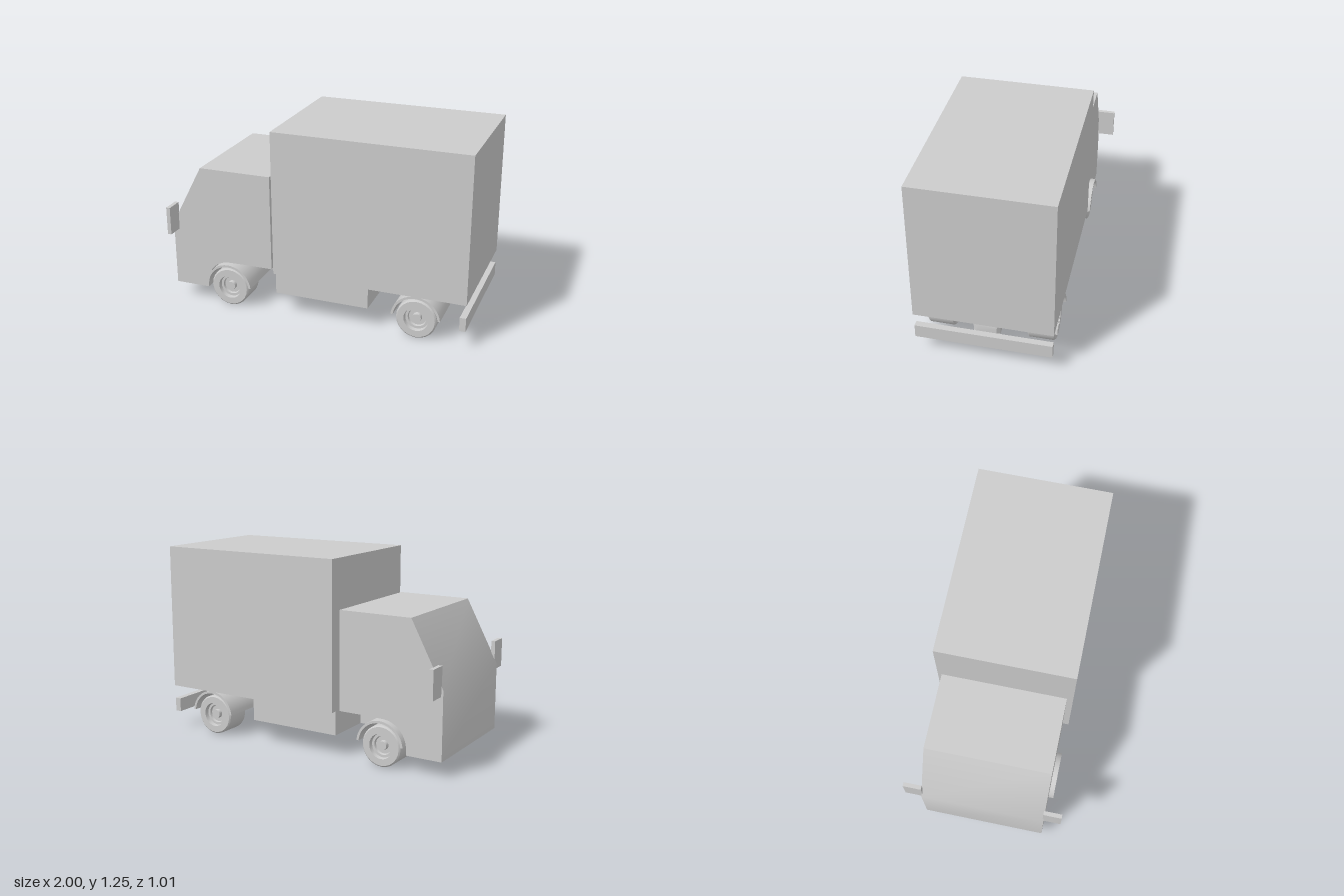
import * as THREE from 'three';
import { toCreasedNormals } from 'three/addons/utils/BufferGeometryUtils.js';

const material = new THREE.MeshStandardMaterial({ color: 0xcccccc });
const AXLES = [-0.6, 0.68];
const AXLE_Y = 0.137;

export function createModel() {
  const model = new THREE.Group();

  const add = (name, geometry, parent = model) => {
    const mesh = new THREE.Mesh(geometry, material);
    mesh.name = name;
    parent.add(mesh);
    return mesh;
  };
  // Box given by its minimum and maximum corners
  const box = (name, x0, x1, y0, y1, z0, z1) => {
    const mesh = add(name, new THREE.BoxGeometry(x1 - x0, y1 - y0, z1 - z0));
    mesh.position.set((x0 + x1) / 2, (y0 + y1) / 2, (z0 + z1) / 2);
    return mesh;
  };
  // Side profile pushed across the width, from z0 to z1
  const extrudeZ = (shape, z0, z1) => {
    const g = new THREE.ExtrudeGeometry(shape, { depth: z1 - z0, bevelEnabled: false, curveSegments: 10 });
    g.translate(0, 0, z0);
    return toCreasedNormals(g, 0.6);
  };

  // Cab with sloping windscreen and a front wheel arch
  const cab = new THREE.Shape();
  cab.moveTo(-1, 0.1);
  cab.lineTo(-0.765, 0.1);
  cab.lineTo(-0.765, AXLE_Y);
  cab.absarc(-0.6, AXLE_Y, 0.165, Math.PI, Math.PI / 2, true);
  cab.lineTo(-0.45, 0.305);
  cab.lineTo(-0.3, 0.305);
  cab.lineTo(-0.3, 0.94);
  cab.lineTo(-0.785, 0.94);
  cab.lineTo(-1, 0.535);
  cab.closePath();
  add('cab', extrudeZ(cab, -0.397, 0.397));

  // Cargo body, underfloor box and rear bumper
  box('cargoBox', -0.27, 1, 0.297, 1.25, -0.436, 0.436);
  box('underfloorBox', -0.27, 0.36, 0.142, 0.297, -0.397, 0.397);
  box('rearBumper', 0.96, 1, 0.117, 0.207, -0.43, 0.43);
  box('bumperBracket', 0.88, 0.97, 0.14, 0.15, -0.08, 0.08);

  // Chassis rail: chamfered section swept along x, its top following the axles
  const section = new THREE.Shape();
  [[-0.085, 0], [0.085, 0], [0.085, 0.8], [0.065, 1], [-0.065, 1], [-0.085, 0.8]]
    .forEach(([z, y], i) => (i ? section.lineTo(z, y) : section.moveTo(z, y)));
  section.closePath();
  const railTop = [[-0.77, 0.27], [-0.6, 0.295], [-0.42, 0.28], [-0.27, 0.27], [0.36, 0.275],
    [0.5, 0.28], [0.68, 0.293], [0.83, 0.285], [0.89, 0.275], [0.91, 0.2]];
  const topAt = (x) => {
    const i = Math.max(1, railTop.findIndex((p) => p[0] >= x - 1e-4));
    const [a, b] = [railTop[i - 1], railTop[i]];
    return THREE.MathUtils.mapLinear(x, a[0], b[0], a[1], b[1]);
  };
  const rail = new THREE.ExtrudeGeometry(section, { depth: 1.68, steps: 84, bevelEnabled: false });
  rail.rotateY(Math.PI / 2).translate(-0.77, 0, 0);
  const p = rail.attributes.position;
  for (let i = 0; i < p.count; i++) {
    const x = p.getX(i);
    p.setY(i, 0.142 + p.getY(i) * (topAt(x) - 0.142));
    if (x > 0.9) p.setZ(i, p.getZ(i) * 0.75);
  }
  add('chassisRail', toCreasedNormals(rail, 0.5));

  // Tyre with a stepped rim and hub on its outer face
  const wheelProfile = [[0, -0.087], [0.122, -0.087], [0.131, -0.078], [0.131, 0.078], [0.122, 0.087],
    [0.08, 0.087], [0.076, 0.06], [0.06, 0.06], [0.056, 0.045], [0.03, 0.045], [0.028, 0.07], [0, 0.07]]
    .map(([r, h]) => new THREE.Vector2(r, h));
  const wheelGeometry = toCreasedNormals(new THREE.LatheGeometry(wheelProfile, 24).rotateX(Math.PI / 2), 0.5);

  // Thin arched mudguard
  const fenderGeometry = (x) => {
    const arch = new THREE.Shape();
    arch.absarc(x, AXLE_Y, 0.16, 0.1, Math.PI - 0.1, false);
    arch.absarc(x, AXLE_Y, 0.145, Math.PI - 0.1, 0.1, true);
    arch.closePath();
    return arch;
  };

  AXLES.forEach((x, i) => {
    const end = i ? 'rear' : 'front';
    const axle = add(end + 'Axle', new THREE.CylinderGeometry(0.02, 0.02, 0.5, 12).rotateX(Math.PI / 2));
    axle.position.set(x, AXLE_Y, 0);
    for (const side of [1, -1]) {
      const label = end + (side > 0 ? 'Left' : 'Right');
      const wheel = add(label + 'Wheel', wheelGeometry);
      wheel.position.set(x, AXLE_Y - 0.006, side * 0.322);
      if (side < 0) wheel.rotation.y = Math.PI;
      const [z0, z1] = side > 0 ? [0.08, 0.43] : [-0.43, -0.08];
      add(label + 'Fender', extrudeZ(fenderGeometry(x), z0, z1));
    }
  });

  // Door mirrors at the windscreen corners
  box('leftMirror', -0.987, -0.961, 0.495, 0.68, 0.39, 0.506);
  box('rightMirror', -0.987, -0.961, 0.495, 0.68, -0.506, -0.39);

  return model;
}
